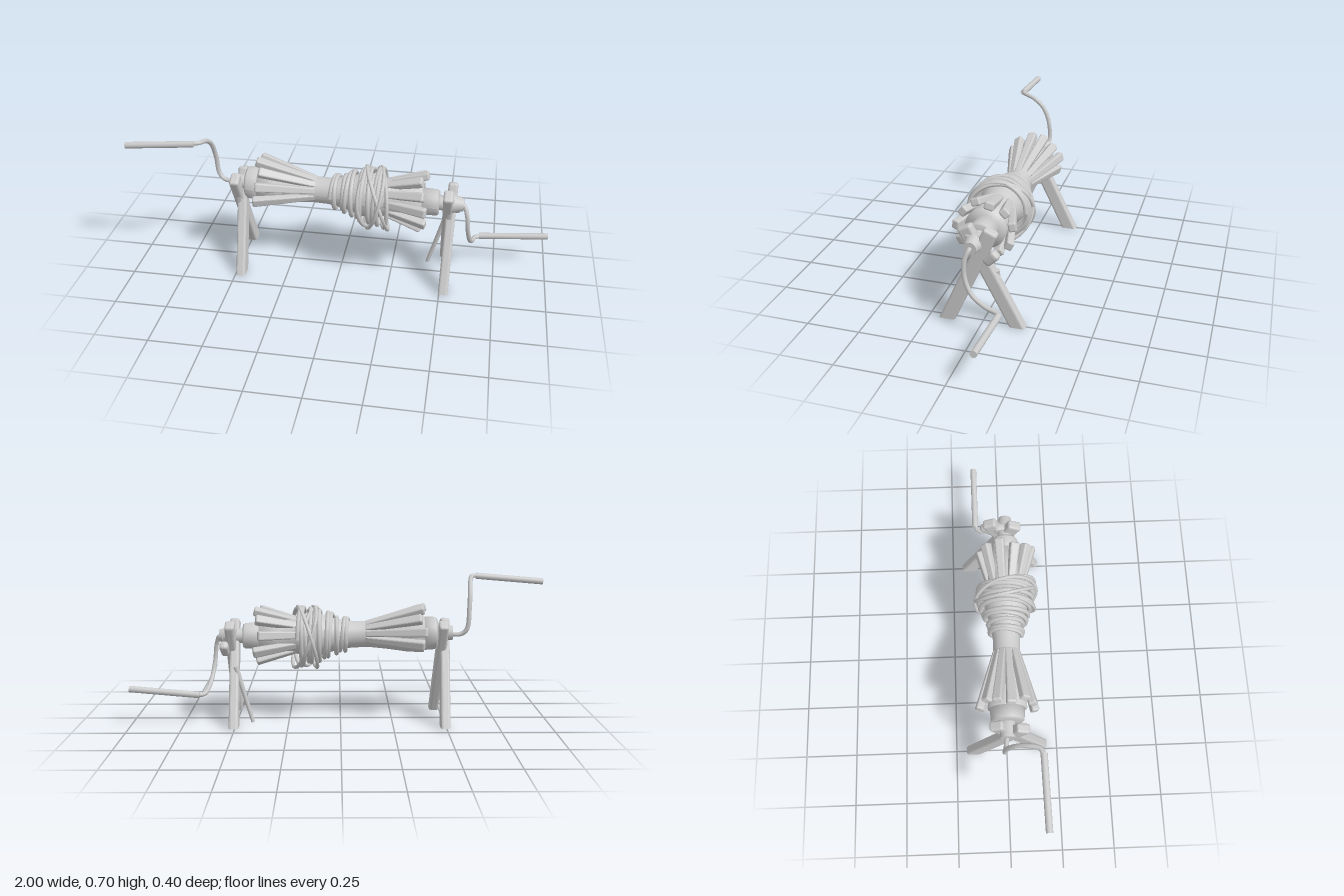
import * as THREE from 'three';
import { RoundedBoxGeometry } from 'three/addons/geometries/RoundedBoxGeometry.js';

const V = (x, y, z) => new THREE.Vector3(x, y, z);
const material = new THREE.MeshStandardMaterial({ color: 0xcccccc });

// The axle sags and skews slightly from end to end
const axis = (x) => V(x, 0.412 - 0.018 * x, 0.014 + 0.022 * x);
const around = (x, angle, r) =>
  axis(x).add(V(0, Math.sin(angle) * r, Math.cos(angle) * r));

function add(parent, name, geometry) {
  const mesh = new THREE.Mesh(geometry, material);
  mesh.name = name;
  parent.add(mesh);
  return mesh;
}

// Rounded timber from a to b, with a taper; "up" sets the roll
function beam(parent, name, a, b, w, d, up, taper = 1, round = 0.007) {
  const dir = b.clone().sub(a), len = dir.length();
  const geometry = new RoundedBoxGeometry(w, len, d, 2, round);
  const p = geometry.attributes.position;
  for (let i = 0; i < p.count; i++) {
    const s = THREE.MathUtils.lerp(taper, 1, p.getY(i) / len + 0.5);
    p.setX(i, p.getX(i) * s);
    p.setZ(i, p.getZ(i) * s);
  }
  dir.normalize();
  const side = dir.clone().cross(up).normalize();
  geometry.applyMatrix4(new THREE.Matrix4()
    .makeBasis(side, dir, side.clone().cross(dir))
    .setPosition(a.clone().add(b).multiplyScalar(0.5)));
  geometry.computeVertexNormals();
  return add(parent, name, geometry);
}

// Closed round rod between two points
function rod(parent, name, a, b, ra, rb = ra, sides = 16) {
  const dir = b.clone().sub(a);
  const mesh = add(parent, name, new THREE.CylinderGeometry(rb, ra, dir.length(), sides));
  mesh.position.copy(a).add(b).multiplyScalar(0.5);
  mesh.quaternion.setFromUnitVectors(V(0, 1, 0), dir.normalize());
  return mesh;
}

function tube(parent, name, points, r, closed = false, segments = 80) {
  return add(parent, name, new THREE.TubeGeometry(
    new THREE.CatmullRomCurve3(points, closed), segments, r, 8, closed));
}

// Surface of revolution that follows the skewed axle; profile holds [x, radius]
function turned(parent, name, profile) {
  const geometry = new THREE.LatheGeometry(
    profile.map(([x, r]) => new THREE.Vector2(r, x)), 32);
  geometry.rotateZ(-Math.PI / 2);
  const p = geometry.attributes.position;
  for (let i = 0; i < p.count; i++) {
    const c = axis(p.getX(i));
    p.setXYZ(i, c.x, c.y + p.getY(i), c.z + p.getZ(i));
  }
  geometry.computeVertexNormals();
  return add(parent, name, geometry);
}

export function createModel() {
  const model = new THREE.Group();
  model.name = 'windlass';

  // Drum core, narrow in the waist
  turned(model, 'drumCore', [
    [-0.4, 0], [-0.4, 0.092], [-0.32, 0.087], [-0.22, 0.072], [-0.14, 0.063],
    [-0.06, 0.064], [0.02, 0.076], [0.1, 0.102], [0.16, 0.108], [0.21, 0.09],
    [0.3, 0.09], [0.39, 0.096], [0.39, 0]]);

  // End hubs and axle
  turned(model, 'leftHub', [[-0.465, 0], [-0.465, 0.07], [-0.455, 0.078], [-0.39, 0.082], [-0.39, 0]]);
  turned(model, 'rightHub', [[0.38, 0], [0.38, 0.065], [0.46, 0.062], [0.47, 0.055], [0.47, 0]]);
  rod(model, 'axle', axis(-0.54), axis(0.57), 0.035);

  // Flared slats around each end of the drum
  const slats = (name, x0, x1, degrees) => {
    const group = new THREE.Group();
    group.name = name;
    degrees.forEach((deg, i) => {
      const a = THREE.MathUtils.degToRad(deg);
      const end = x1 - Math.sign(x1) * 0.012 * (i % 3);
      beam(group, 'slat', around(x0, a, 0.052), around(end, a, 0.133 - 0.005 * (i % 2)),
        0.046, 0.038, V(0, Math.sin(a), Math.cos(a)), 0.62, 0.009);
    });
    model.add(group);
  };
  slats('leftSlats', -0.12, -0.41, [-14, 20, 52, 82, 110, 138, 168, 196]);
  slats('rightSlats', 0.13, 0.415, [5, 37, 70, 102, 135, 170, 207, 240, 295, 331]);

  // Rope wound in an uneven helix over the waist
  const winding = [];
  for (let i = 0; i <= 180; i++) {
    const t = i / 180, a = t * Math.PI * 2 * 9.5;
    const r = 0.074 + 0.058 * Math.sin(Math.min(t * 1.25, 1) * Math.PI / 2) ** 2;
    winding.push(around(-0.045 + 0.25 * t + 0.008 * Math.sin(a * 0.63), a, r + 0.004 * Math.sin(a * 0.37)));
  }
  tube(model, 'ropeWinding', winding, 0.011, false, 500);

  // Slack loops lying aslant across the winding
  [[0.16, 0.148, 0.05, 0.6], [0.175, 0.146, 0.06, 2.6], [0.14, 0.138, 0.045, 4.4], [0.2, 0.14, 0.035, 1.5]]
    .forEach(([x, r, slant, phase]) => {
      const points = [];
      for (let i = 0; i < 24; i++) {
        const a = i / 24 * Math.PI * 2;
        points.push(around(x + slant * Math.sin(a + phase), a, r).add(V(0, -0.01, 0)));
      }
      tube(model, 'slackRopeLoop', points, 0.009, true);
    });

  // Crossed-leg trestles
  const trestle = (name, xFront, xBack, xTop) => {
    const group = new THREE.Group();
    group.name = name;
    [[1, xFront, 0.008], [-1, xBack, -0.008]].forEach(([s, x, shift]) => {
      const leg = beam(group, 'leg', V(x, 0, 0.163 * s), V(xTop + shift, 0.475, -0.065 * s + 0.012),
        0.046, 0.068, V(0, 0, 1), 1, 0.012);
      // Saw the feet level with the ground
      const p = leg.geometry.attributes.position;
      for (let i = 0; i < p.count; i++) {
        if (p.getY(i) < 0.05) {
          p.setZ(i, p.getZ(i) + s * p.getY(i) * 0.48);
          p.setY(i, 0);
        }
      }
      leg.geometry.computeVertexNormals();
    });
    // Block in the fork that carries the axle
    beam(group, 'bearingBlock', V(xTop, 0.3, 0.012), V(xTop, 0.45, 0.02), 0.04, 0.11, V(0, 0, 1), 0.6, 0.015);
    model.add(group);
  };
  trestle('leftTrestle', -0.473, -0.495, -0.5);
  trestle('rightTrestle', 0.518, 0.505, 0.52);

  // Lashing and wedge on the outer right end
  beam(model, 'wedge', V(0.55, 0.325, -0.03), V(0.555, 0.385, -0.085), 0.05, 0.045, V(1, 0, 0), 0.8, 0.018);
  rod(model, 'rightCollar', V(0.53, 0.405, 0.026), V(0.585, 0.405, 0.028), 0.045, 0.03);

  // Left crank, turned up
  tube(model, 'leftCrankArm', [V(-0.5, 0.42, 0.003), V(-0.58, 0.418, -0.008), V(-0.608, 0.445, -0.015),
    V(-0.618, 0.54, -0.008), V(-0.624, 0.62, 0.025), V(-0.632, 0.665, 0.08), V(-0.65, 0.68, 0.135),
    V(-0.69, 0.68, 0.15)], 0.011);
  rod(model, 'leftCrankHandle', V(-0.67, 0.679, 0.149), V(-1, 0.65, 0.156), 0.0155);

  // Right crank, turned down
  tube(model, 'rightCrankArm', [V(0.55, 0.405, 0.027), V(0.585, 0.402, 0.03), V(0.603, 0.36, 0.046),
    V(0.612, 0.28, 0.046), V(0.624, 0.205, 0.012), V(0.636, 0.162, -0.05), V(0.652, 0.147, -0.11),
    V(0.69, 0.148, -0.125)], 0.011);
  rod(model, 'rightCrankHandle', V(0.67, 0.147, -0.124), V(1, 0.177, -0.125), 0.0155);

  // Thin prop at the back right
  rod(model, 'prop', V(0.422, 0, -0.076), V(0.5, 0.27, -0.065), 0.009, 0.013, 8);

  return model;
}
